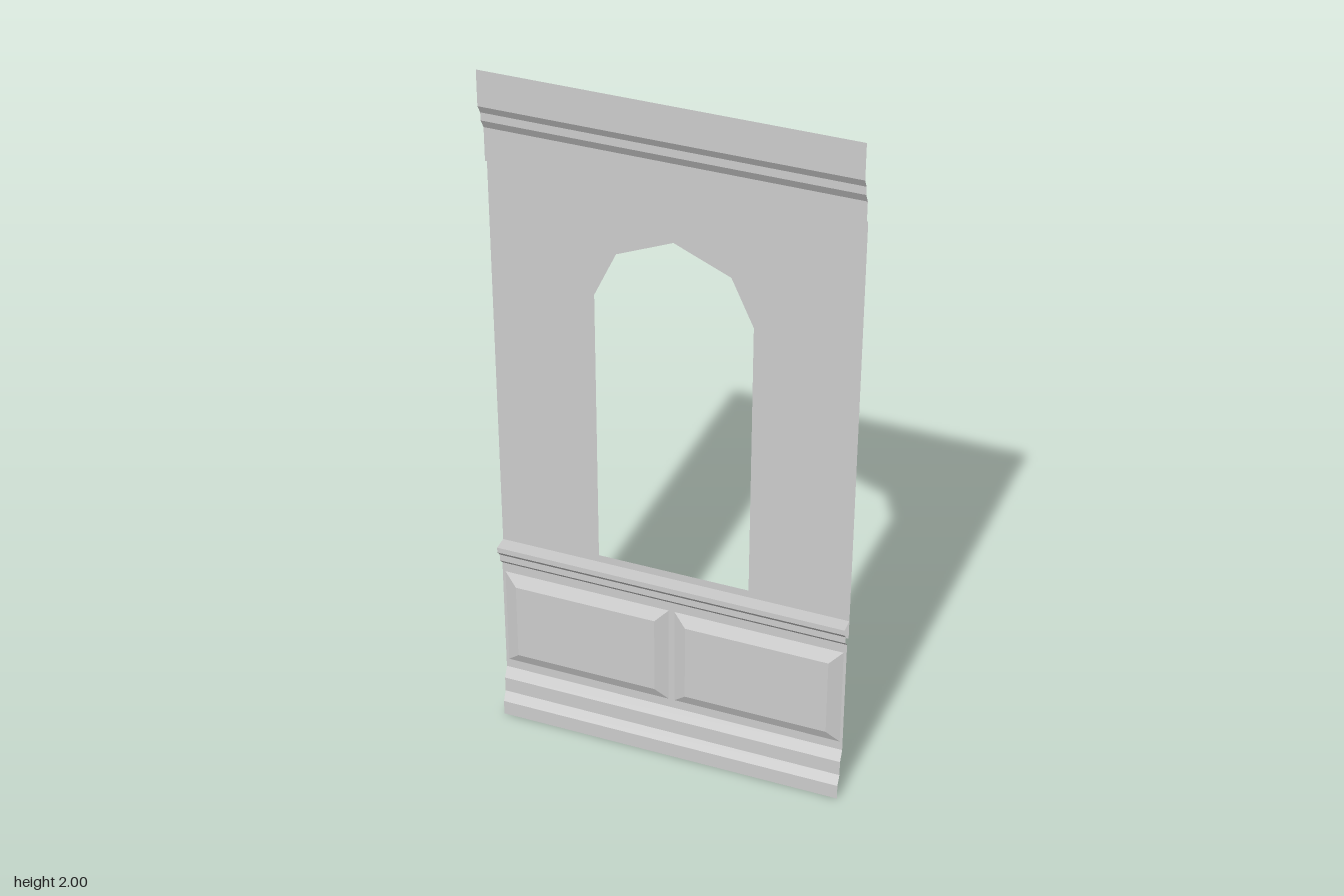
import * as THREE from 'three';

const W = 0.48; // half width
const BACK = -0.02, LOW = -0.009, MID = 0.006, FRONT = 0.02; // depth levels

const material = new THREE.MeshStandardMaterial({
  color: 0xcccccc, flatShading: true, side: THREE.DoubleSide,
});

function addMesh(group, name, geometry) {
  const mesh = new THREE.Mesh(geometry, material);
  mesh.name = name;
  group.add(mesh);
  return mesh;
}

// Sweeps an open [y, z] profile (listed bottom to top) across the full width
function sweep(profile) {
  const pos = [];
  for (let i = 0; i < profile.length - 1; i++) {
    const [y0, z0] = profile[i], [y1, z1] = profile[i + 1];
    pos.push(-W, y0, z0, W, y0, z0, W, y1, z1);
    pos.push(-W, y0, z0, W, y1, z1, -W, y1, z1);
  }
  const g = new THREE.BufferGeometry();
  g.setAttribute('position', new THREE.Float32BufferAttribute(pos, 3));
  g.computeVertexNormals();
  return g;
}

// Raised panel: flat field with four bevelled sides, open at the back
function raisedPanel(w, h, bevel, depth) {
  const ring = (x, y, z) => [[-x, -y, z], [x, -y, z], [x, y, z], [-x, y, z]];
  const outer = ring(w / 2, h / 2, 0);
  const inner = ring(w / 2 - bevel, h / 2 - bevel, depth);
  const pos = [];
  const quad = (a, b, c, d) => pos.push(...a, ...b, ...c, ...a, ...c, ...d);
  for (let i = 0; i < 4; i++) {
    const j = (i + 1) % 4;
    quad(outer[i], outer[j], inner[j], inner[i]);
  }
  quad(...inner);
  const g = new THREE.BufferGeometry();
  g.setAttribute('position', new THREE.Float32BufferAttribute(pos, 3));
  g.computeVertexNormals();
  return g;
}

export function createModel() {
  const model = new THREE.Group();
  model.name = 'windowWall';

  // Wall sheet with a pointed window opening
  const wall = new THREE.Shape([[-W, 0.52], [W, 0.52], [W, 1.77], [-W, 1.77]]
    .map(([x, y]) => new THREE.Vector2(x, y)));
  wall.holes.push(new THREE.Path([
    [-0.207, 0.6], [-0.207, 1.41], [-0.148, 1.54], [0, 1.605],
    [0.148, 1.54], [0.207, 1.41], [0.207, 0.6],
  ].map(([x, y]) => new THREE.Vector2(x, y))));
  addMesh(model, 'wall', new THREE.ShapeGeometry(wall)).position.z = BACK;

  // Cornice stepping forward to the top
  addMesh(model, 'cornice', sweep([
    [1.737, LOW], [1.83, LOW], [1.856, MID], [1.878, MID], [1.902, FRONT], [2, FRONT],
  ]));

  // Skirting, dado and chair rail with its ledge
  addMesh(model, 'wainscot', sweep([
    [0, FRONT], [0.045, FRONT], [0.072, MID], [0.118, MID], [0.148, LOW],
    [0.508, LOW], [0.525, MID], [0.545, MID], [0.562, FRONT], [0.578, FRONT], [0.578, BACK],
  ]));

  // Pair of raised panels
  for (const [side, name] of [[-1, 'rightPanel'], [1, 'leftPanel']]) {
    addMesh(model, name, raisedPanel(0.464, 0.304, 0.035, 0.015))
      .position.set(side * 0.24, 0.328, LOW + 0.0005);
  }
  return model;
}
